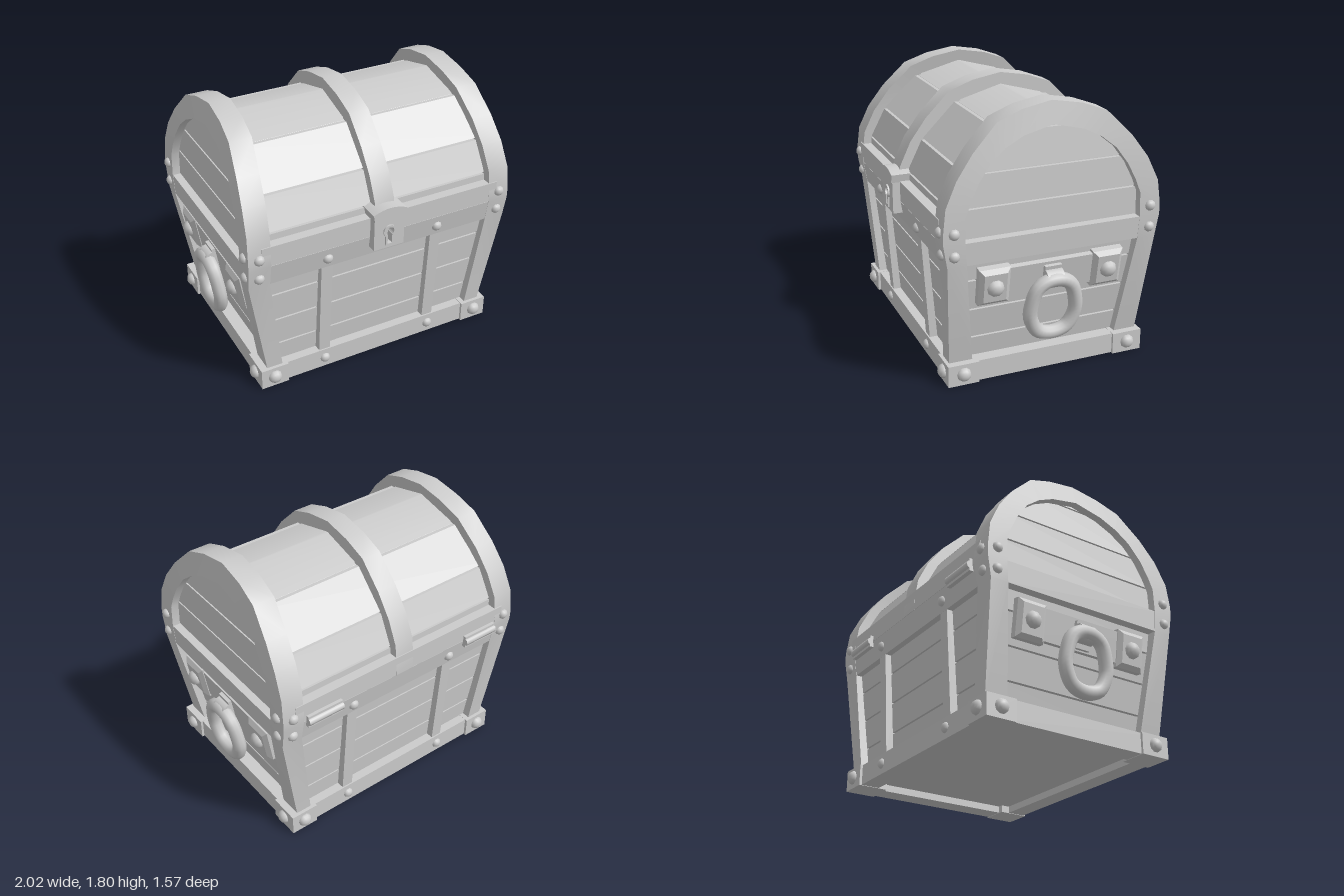
import * as THREE from 'three';
import { toCreasedNormals } from 'three/addons/utils/BufferGeometryUtils.js';

const mat = new THREE.MeshStandardMaterial({ color: 0xcccccc });
const SIDES = [-1, 1];

// Outer and inner outlines of the end frames, as [z, y] from foot to crown
const OUTER = [[.667, .143], [.71, .85], [.735, 1], [.735, 1.07], [.715, 1.23], [.64, 1.39], [.53, 1.54], [.365, 1.705], [.2, 1.765], [0, 1.8]];
const INNER = [[.51, .143], [.585, .85], [.593, 1], [.59, 1.16], [.555, 1.25], [.5, 1.36], [.42, 1.47], [.32, 1.55], [.2, 1.61], [0, 1.657]];

// Linear lookup in a list of [y, value]
function table(points) {
  return (y) => {
    for (let i = 1; i < points.length; i++) {
      const [a, va] = points[i - 1], [b, vb] = points[i];
      if (y <= b || i === points.length - 1) return va + (vb - va) * (y - a) / (b - a);
    }
  };
}
const xOut = table([[.143, .83], [.85, .95], [1.05, .955], [1.23, .948], [1.4, .935], [1.55, .915], [1.7, .89], [1.8, .865]]);
const xIn = table([[.143, .72], [.85, .805], [1.2, .8], [1.5, .775], [1.8, .72]]);
const zOut = table([[.143, .667], [.85, .71], [1, .735], [1.14, .735]]);
const zPlank = table([[.143, .61], [.85, .665], [1, .675], [1.19, .665], [1.4, .56], [1.63, .33], [1.72, .004]]);

function add(parent, name, geometry, x = 0, y = 0, z = 0) {
  const m = new THREE.Mesh(geometry, mat);
  m.name = name;
  m.position.set(x, y, z);
  parent.add(m);
  return m;
}

// Solid through a row of matching loops of [x, y, z], capped at both ends
function loft(loops, crease = 0.3) {
  const n = loops[0].length, pos = loops.flat(2), idx = [];
  for (let s = 0; s < loops.length - 1; s++)
    for (let i = 0; i < n; i++) {
      const j = (i + 1) % n, a = s * n + i, b = s * n + j;
      idx.push(a, b, b + n, a, b + n, a + n);
    }
  const e = (loops.length - 1) * n;
  for (let i = 1; i < n - 1; i++) idx.push(0, i + 1, i, e, e + i, e + i + 1);
  // Turn the faces outward if the loops ran the other way
  const P = (i) => new THREE.Vector3().fromArray(pos, i * 3);
  let volume = 0;
  for (let i = 0; i < idx.length; i += 3) volume += P(idx[i]).dot(P(idx[i + 1]).cross(P(idx[i + 2])));
  if (volume < 0) idx.reverse();
  const g = new THREE.BufferGeometry();
  g.setAttribute('position', new THREE.Float32BufferAttribute(pos, 3));
  g.setIndex(idx);
  return toCreasedNormals(g, crease);
}
const rect = (y, x0, x1, z0, z1) => [[x0, y, z0], [x1, y, z0], [x1, y, z1], [x0, y, z1]];

// Flattened dome facing along (dx, dz)
function rivet(parent, r, x, y, z, dx, dz) {
  const g = new THREE.SphereGeometry(r, 10, 4, 0, Math.PI * 2, 0, Math.PI / 2);
  g.scale(1, .85, 1);
  g.rotateX(Math.PI / 2);
  add(parent, 'rivet', g, x, y, z).rotation.y = Math.atan2(dx, dz);
}

// Mirrored path over the chest from front foot to back foot
const over = (pts) => [...pts, ...pts.slice(0, -1).reverse().map(([z, y]) => [-z, y])];

function keyhole(path, r, w, bottom) {
  const a = Math.asin(w / r);
  path.moveTo(-w, bottom);
  path.lineTo(w, bottom);
  path.absarc(0, 1.045, r, -Math.PI / 2 + a, Math.PI * 1.5 - a, false);
  path.closePath();
  return path;
}
const extrude = (shape, depth) => new THREE.ExtrudeGeometry(shape, { depth, bevelEnabled: false, curveSegments: 10 });

function makeHandle() {
  const h = new THREE.Group();
  h.name = 'handle';
  add(h, 'handleBoard', new THREE.BoxGeometry(.04, .21, .96), .005, .005, 0);
  for (const s of SIDES) {
    const frame = (x, dy, dz) => [[x, -dy, s * .39 - dz], [x, dy, s * .39 - dz], [x, dy, s * .39 + dz], [x, -dy, s * .39 + dz]];
    add(h, 'handlePlate', loft([frame(-.03, .127, .105), frame(.03, .127, .105), frame(.055, .098, .076)]));
    rivet(h, .058, .05, 0, s * .39, 1, 0);
  }
  const bracket = new THREE.CylinderGeometry(.062, .062, .115, 16).rotateX(Math.PI / 2);
  add(h, 'handleBracket', bracket, .056, .005, 0);
  add(h, 'bracketBase', new THREE.BoxGeometry(.06, .18, .115), .02, 0, 0);
  const ring = [[0, -.375], [.1, -.345], [.155, -.24], [.15, -.14], [.115, -.04], [.06, .0], [0, .01]];
  const loop = [...ring, ...ring.slice(1, -1).reverse().map(([z, y]) => [-z, y])];
  const curve = new THREE.CatmullRomCurve3(loop.map(([z, y]) => new THREE.Vector3(.085 - y * .05, y, z)), true);
  add(h, 'handleRing', new THREE.TubeGeometry(curve, 40, .047, 10, true));
  h.position.set(.876, .67, 0);
  h.rotation.z = -.16;
  return h;
}

export function createModel() {
  const chest = new THREE.Group();
  chest.name = 'chest';
  const body = new THREE.Group();
  body.position.z = -.012;
  chest.add(body);

  // Planks of the box and lid, with a recessed core showing in the seams
  const slice = (y, inset) => {
    const x = xOut(y) - .055 - inset, z = Math.max(zPlank(y) - inset, .002);
    return rect(y, -x, x, -z, z);
  };
  const rows = [.1, .285, .497, .712, .995, 1.19, 1.4, 1.635, 1.72];
  for (let i = 0; i < rows.length - 1; i++) {
    const top = i === rows.length - 2 ? 0 : .006;
    add(body, i < 4 ? 'boxPlank' : 'lidPlank', loft([slice(rows[i] + .006, 0), slice(rows[i + 1] - top, 0)]));
  }
  add(body, 'core', loft([.1, .85, 1, 1.19, 1.4, 1.63, 1.68].map((y) => slice(y, .025))));

  // End frames: corner posts running into the arch
  const outer = over(OUTER), inner = over(INNER);
  for (const s of SIDES)
    add(body, 'endFrame', loft(outer.map(([z, y], i) => {
      const [iz, iy] = inner[i];
      return [[s * xOut(y), y, z], [s * xIn(y), y, z], [s * xIn(iy), iy, iz], [s * xOut(iy), iy, iz]];
    }), .45));

  // Middle strap over the lid
  const o = over(OUTER.slice(2)), n = over(INNER.slice(2));
  add(body, 'lidStrap', loft(o.map(([z, y], i) =>
    [[-.07, y, z], [.07, y, z], [.07, n[i][1], n[i][0]], [-.07, n[i][1], n[i][0]]]), .45));

  for (const s of SIDES) {
    // Front and back rails on either side of the lid joint
    const rail = (y) => rect(y, -.86, .86, s * .56, s * (zOut(y) - .002));
    add(body, 'boxRail', loft([rail(.85), rail(.999)]));
    add(body, 'lidRail', loft([rail(1.001), rail(1.14)]));
    // End rails
    const endRail = (y) => rect(y, s * .8, s * (xOut(y) - .002), -.62, .62);
    add(body, 'endRail', loft([endRail(.85), endRail(.997)]));

    // Upright straps, corner blocks and rivets
    for (const t of SIDES) {
      const strap = (y) => rect(y, t * .365, t * .445, s * .58, s * (zOut(y) - .004));
      add(body, 'uprightStrap', loft([strap(.13), strap(.86)]));
      add(body, 'cornerBlock', new THREE.BoxGeometry(.195, .145, .21), t * .7825, .0725, s * .585);
      rivet(body, .048, t * .785, .075, s * .688, 0, s);
      rivet(body, .048, t * .878, .075, s * .585, t, 0);
      rivet(body, .036, t * .405, .075, s * .668, 0, s);
      rivet(body, .036, t * .405, .92, s * .716, 0, s);
      for (const y of [.92, 1.065]) {
        rivet(body, .036, t * .88, y, s * (zOut(y) - .003), 0, s);
        rivet(body, .036, t * (xOut(y) - .003), y, s * .665, t, 0);
      }
    }

    // Base frame
    add(body, 'baseRail', new THREE.BoxGeometry(1.72, .14, .13), 0, .073, s * .607);
    add(body, 'baseEndRail', new THREE.BoxGeometry(.14, .14, 1.2), s * .793, .073, 0);

    // Hinges at the back
    add(body, 'hingeLeaf', new THREE.BoxGeometry(.265, .085, .03), s * .65, 1, -.74);
    add(body, 'hingePin', new THREE.CylinderGeometry(.028, .028, .265, 8).rotateZ(Math.PI / 2), s * .65, 1, -.747);

    // Ring handles on the ends
    const side = new THREE.Group();
    side.name = 'endHandle';
    side.rotation.y = s > 0 ? 0 : Math.PI;
    side.add(makeHandle());
    body.add(side);
  }
  add(body, 'floor', new THREE.BoxGeometry(1.5, .06, 1.1), 0, .08, 0);

  // Lock: plate with a keyhole, its raised rim, and the hasp cap above
  const plate = new THREE.Shape([[-.11, .92], [.11, .92], [.11, 1.145], [-.11, 1.145]].map((p) => new THREE.Vector2(...p)));
  plate.holes.push(keyhole(new THREE.Path(), .03, .016, .955));
  add(body, 'lockPlate', extrude(plate, .09), 0, 0, .695);
  add(body, 'lockBack', new THREE.BoxGeometry(.2, .2, .03), 0, 1.035, .725);
  const rim = keyhole(new THREE.Shape(), .045, .03, .942);
  rim.holes.push(keyhole(new THREE.Path(), .03, .016, .955));
  add(body, 'keyholeRim', extrude(rim, .03), 0, 0, .766);
  const cap = new THREE.Shape();
  cap.moveTo(-.11, 1.135);
  cap.lineTo(.11, 1.135);
  cap.lineTo(.12, 1.19);
  cap.quadraticCurveTo(0, 1.245, -.12, 1.19);
  add(body, 'hasp', toCreasedNormals(extrude(cap, .18), .4), 0, 0, .612);

  return chest;
}
